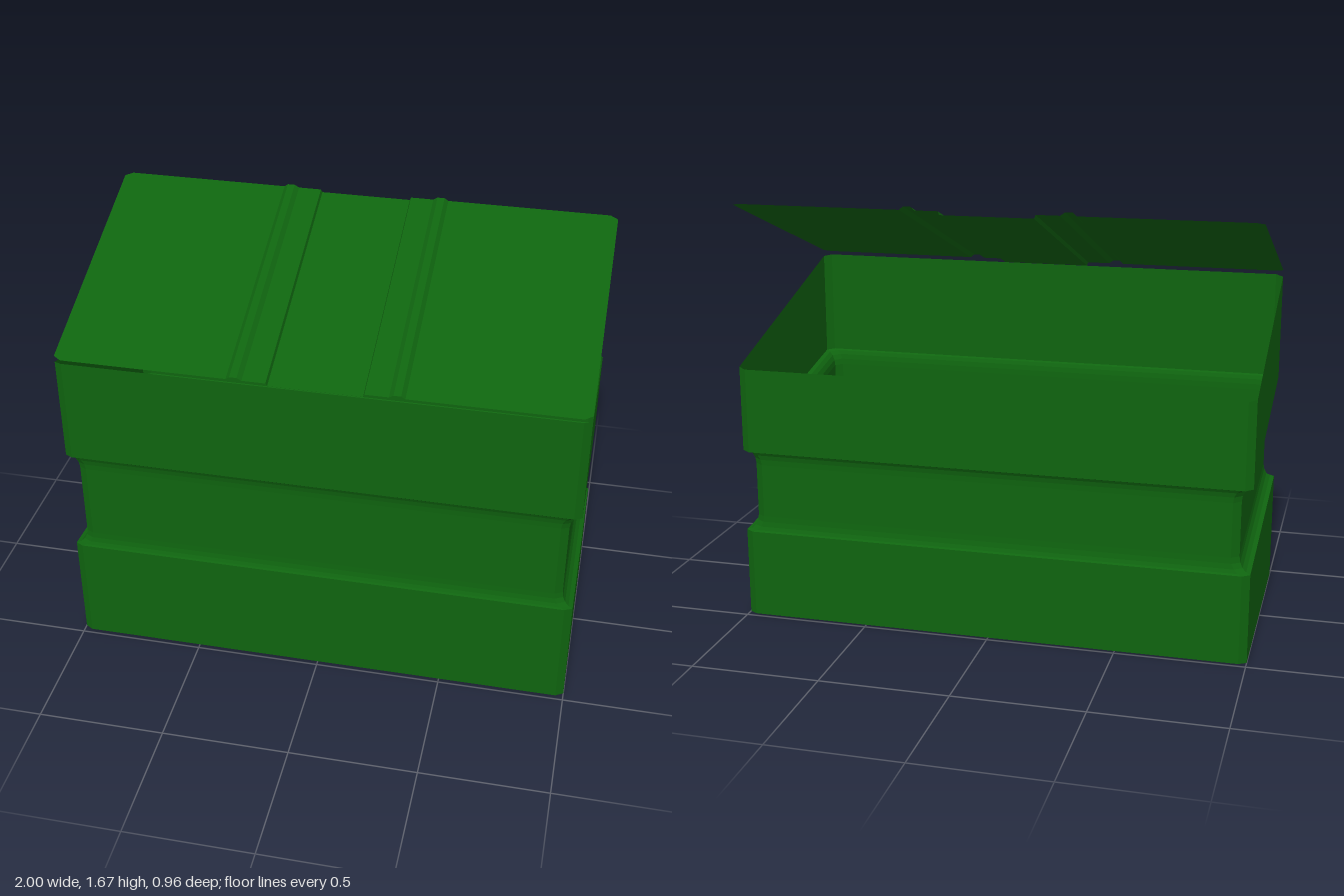
import * as THREE from 'three';

const HALF_DEPTH = 0.48;

// Loft quads between rows of points, facetted
function loft(rows, closed) {
  const pos = [];
  const tri = (...pts) => pts.forEach((p) => pos.push(...p));
  for (let j = 0; j < rows.length - 1; j++) {
    const a = rows[j], b = rows[j + 1], n = a.length;
    for (let i = 0; i < (closed ? n : n - 1); i++) {
      const k = (i + 1) % n;
      tri(a[i], a[k], b[k]);
      tri(a[i], b[k], b[i]);
    }
  }
  return pos;
}

function toGeometry(pos) {
  const g = new THREE.BufferGeometry();
  g.setAttribute('position', new THREE.Float32BufferAttribute(pos, 3));
  g.computeVertexNormals();
  return g;
}

// Rectangle with cut corners, its height sloping from front to back
function ring(yFront, yBack, inset = 0) {
  const X = 1 - 0.044 * inset, Z = HALF_DEPTH - 0.02 * inset, cx = 0.03, cz = 0.018;
  return [
    [X - cx, Z], [X, Z - cz], [X, cz - Z], [X - cx, -Z],
    [cx - X, -Z], [-X, cz - Z], [-X, Z - cz], [cx - X, Z],
  ].map(([x, z]) => [x, THREE.MathUtils.lerp(yBack, yFront, (z / HALF_DEPTH + 1) / 2), z]);
}

export function createModel() {
  const green = new THREE.MeshStandardMaterial({ color: 0x0f640f, side: THREE.DoubleSide });
  green.name = 'dark green';
  const group = new THREE.Group();
  const add = (name, pos) => {
    const mesh = new THREE.Mesh(toGeometry(pos), green);
    mesh.name = name;
    group.add(mesh);
  };

  // Open bin walls with a coved, sloping groove around the middle
  const rings = [ring(0, 0)];
  const steps = 4;
  for (let i = 0; i <= steps; i++) {
    const t = (i / steps) * Math.PI / 2, rise = 0.06 * (1 - Math.cos(t));
    rings.push(ring(0.445 + rise, 0.35 + rise, Math.sin(t)));
  }
  for (let i = steps; i >= 0; i--) {
    const t = (i / steps) * Math.PI / 2, drop = 0.06 * (1 - Math.cos(t));
    rings.push(ring(0.88 - drop, 0.68 - drop, Math.sin(t)));
  }
  rings.push(ring(1.305, 1.015));
  add('binWalls', loft(rings, true));

  // Floor
  const base = rings[0], floor = [];
  for (let i = 1; i < base.length - 1; i++) floor.push(...base[0], ...base[i + 1], ...base[i]);
  add('floor', floor);

  // Open lid: a pressed sheet with two ribs and a sunken centre panel
  const half = [
    [1, 0, 0.018], [0.97, 0, 0], [0.333, 0, 0], [0.318, 0.013, 0],
    [0.29, 0.013, 0], [0.273, 0, 0], [0.183, 0, 0], [0.178, -0.014, 0],
  ];
  const profile = [
    ...half.map(([x, h, cut]) => [-x, h, cut]),
    ...half.slice().reverse(),
  ];
  const hinge = new THREE.Vector2(0.48, 1.32), tip = new THREE.Vector2(-0.468, 1.655);
  const length = hinge.distanceTo(tip);
  const along = tip.clone().sub(hinge).normalize();
  const lidPoint = (x, h, v) => [
    x,
    hinge.y + along.y * v - along.x * h,
    hinge.x + along.x * v + along.y * h,
  ];
  const frontEdge = profile.map(([x, h, cut]) => lidPoint(x, h, cut));
  const backEdge = profile.map(([x, h, cut]) => lidPoint(x, h, length - cut));
  add('lid', loft([frontEdge, backEdge], false));

  return group;
}
